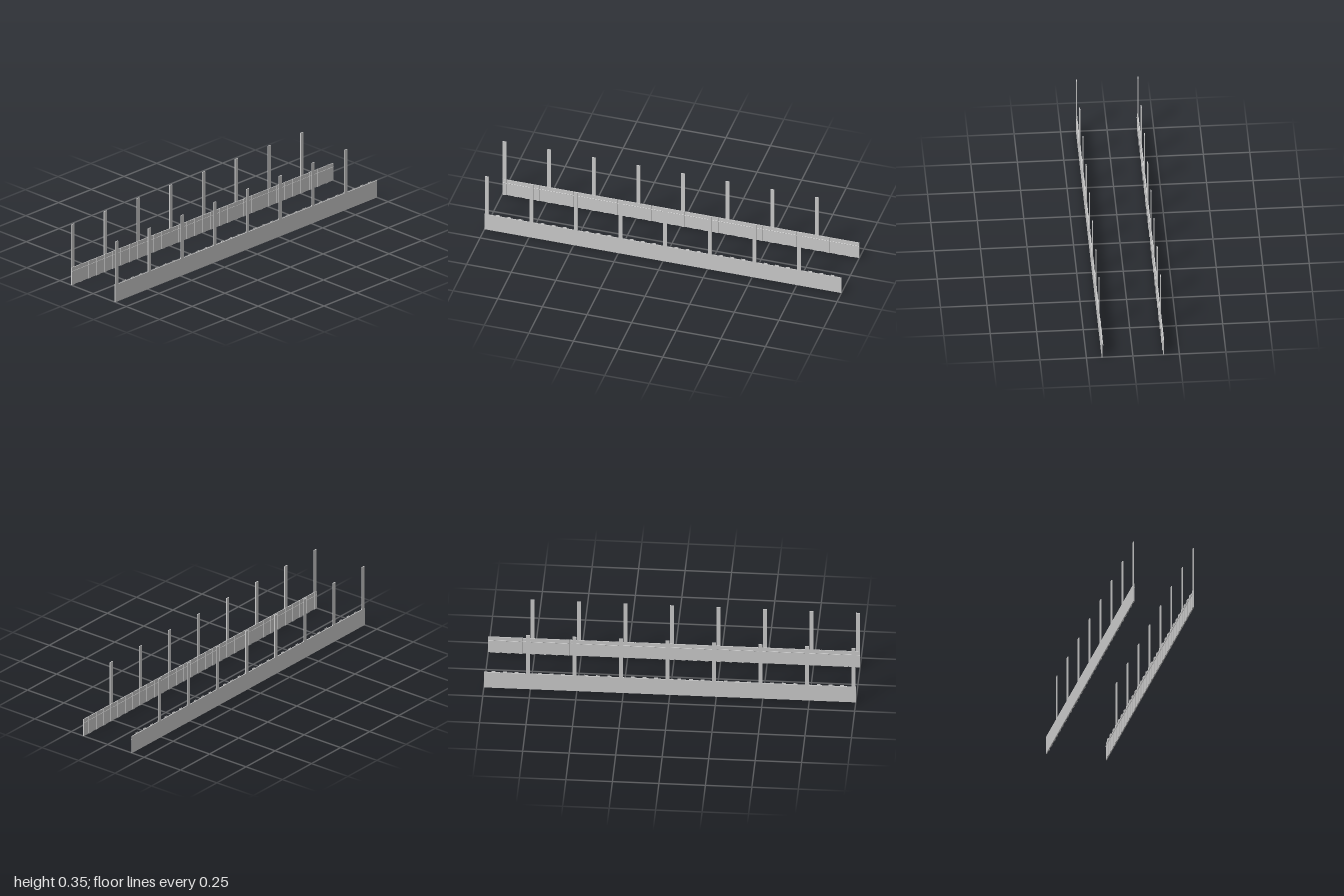
import * as THREE from 'three';

const material = new THREE.MeshStandardMaterial({ color: 0xcccccc });

function addBox(parent, name, [w, h, d], [x, y, z]) {
  const mesh = new THREE.Mesh(new THREE.BoxGeometry(w, h, d), material);
  mesh.name = name;
  mesh.position.set(x, y, z);
  parent.add(mesh);
}

// One barrier: smooth board outside, stakes and a wire on the inner face
function createBarrier(name, side) {
  const barrier = new THREE.Group();
  barrier.name = name;
  const firstX = -0.988, width = 0.021;

  addBox(barrier, 'board', [2, 0.1, 0.005], [0, 0.05, side * 0.1655]);

  // Short stakes, just taller than the board
  for (let i = 0; i < 32; i++) {
    addBox(barrier, 'stake', [width, 0.104, 0.003], [firstX + i * 0.0625, 0.052, side * 0.1615]);
  }

  // Tall posts rise from the board at every fourth stake
  for (let i = 0; i < 8; i++) {
    addBox(barrier, 'post', [width, 0.292, 0.005], [firstX + i * 0.25, 0.206, side * 0.1653]);
  }

  // Thin wire fastened along the stakes
  const wire = new THREE.Mesh(new THREE.CylinderGeometry(0.0015, 0.0015, 1.998, 8), material);
  wire.name = 'wire';
  wire.rotation.z = Math.PI / 2;
  wire.position.set(0, 0.08, side * 0.1602);
  barrier.add(wire);
  return barrier;
}

export function createModel() {
  const model = new THREE.Group();
  model.name = 'barriers';
  model.add(createBarrier('frontBarrier', 1), createBarrier('backBarrier', -1));
  return model;
}
